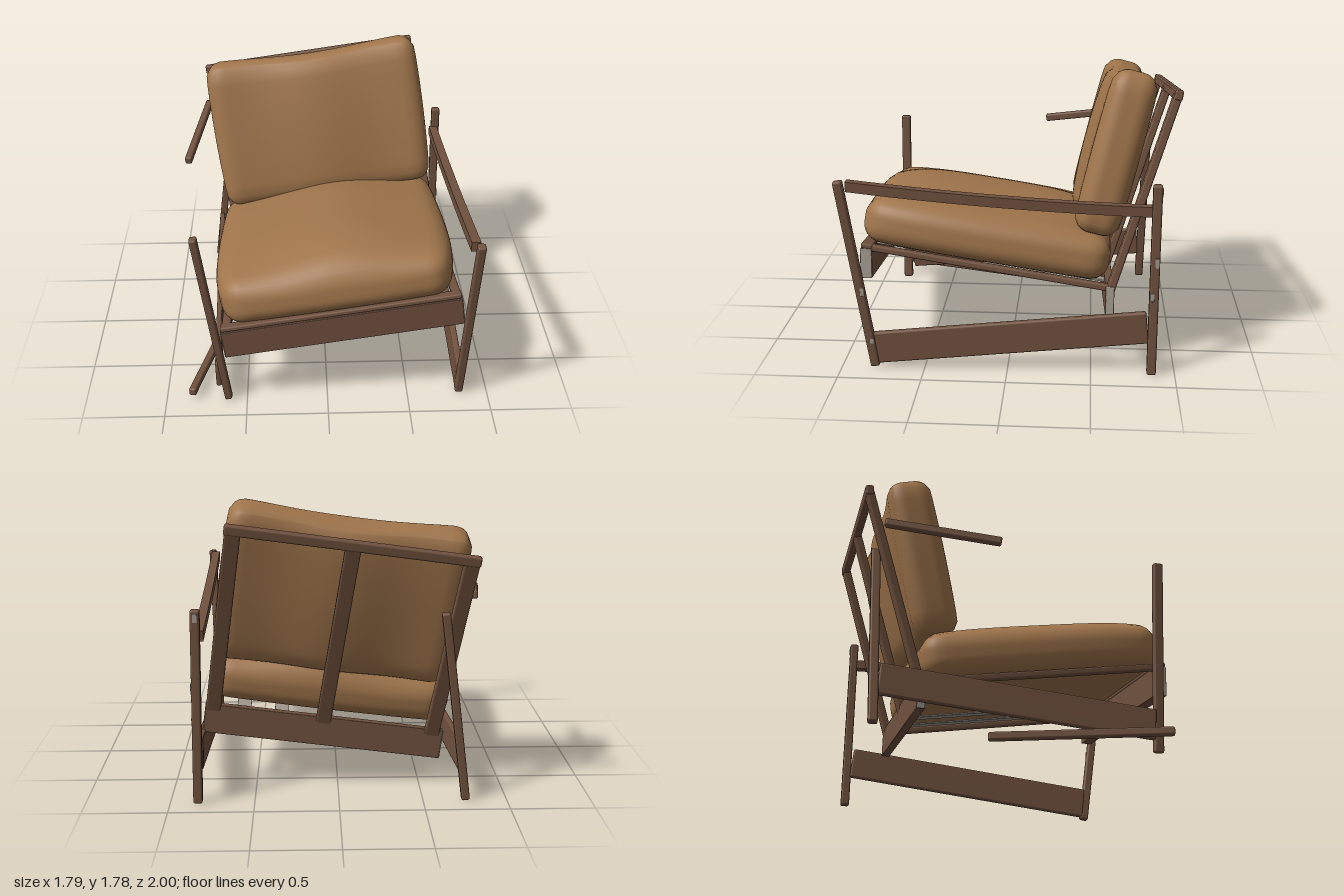
import * as THREE from 'three';
import { mergeVertices } from 'three/addons/utils/BufferGeometryUtils.js';
import { RoundedBoxGeometry } from 'three/addons/geometries/RoundedBoxGeometry.js';

const material = (name, color) => {
  const m = new THREE.MeshStandardMaterial({ color });
  m.name = name;
  return m;
};
const wood = material('brownWood', 0x71523f);
const fabric = material('tanFabric', 0xa1764c);
const pale = material('paleGrey', 0xa39a8f);

const V = (a) => new THREE.Vector3(...a);

// Bar from p to q: w across, d along the hint direction
function beam(parent, name, p, q, w, d, hint = [0, 0, 1], mat = wood, radius = 0.012) {
  const a = V(p), b = V(q);
  const y = b.clone().sub(a);
  const length = y.length();
  y.normalize();
  const x = y.clone().cross(V(hint)).normalize();
  const z = x.clone().cross(y);
  const mesh = new THREE.Mesh(new RoundedBoxGeometry(w, length, d, 2, Math.min(radius, w / 3, d / 3)), mat);
  mesh.quaternion.setFromRotationMatrix(new THREE.Matrix4().makeBasis(x, y, z));
  mesh.position.copy(a.add(b).multiplyScalar(0.5));
  mesh.name = name;
  parent.add(mesh);
}

// Smooth stuffed block; shape(p, u, v, t) moves points, u v t run -1..1 on x y z
function cushion(parent, name, w, h, d, r, shape) {
  let geo = new THREE.BoxGeometry(w, h, d, 32, 14, 32);
  geo.deleteAttribute('uv');
  geo.deleteAttribute('normal');
  geo = mergeVertices(geo);
  const pos = geo.attributes.position;
  const p = new THREE.Vector3(), core = new THREE.Vector3();
  const limit = new THREE.Vector3(w / 2 - r, h / 2 - r, d / 2 - r);
  const low = limit.clone().negate();
  for (let i = 0; i < pos.count; i++) {
    p.fromBufferAttribute(pos, i);
    core.copy(p).clamp(low, limit);
    p.sub(core).setLength(r).add(core);
    shape(p, (2 * p.x) / w, (2 * p.y) / h, (2 * p.z) / d);
    pos.setXYZ(i, p.x, p.y, p.z);
  }
  geo.computeVertexNormals();
  const mesh = new THREE.Mesh(geo, fabric);
  mesh.name = name;
  parent.add(mesh);
  return mesh;
}

export function createModel() {
  const chair = new THREE.Group();
  chair.name = 'collapsedArmchair';

  // Legs, each leaning its own way
  beam(chair, 'frontLeftLeg', [0.825, 0, 0.8], [0.865, 1.175, 0.975], 0.05, 0.055);
  beam(chair, 'backLeftLeg', [0.835, 0, -0.86], [0.82, 1.175, -0.86], 0.055, 0.055);
  beam(chair, 'frontRightLeg', [-0.615, 0, 0.83], [-0.775, 1.17, 0.84], 0.045, 0.06);
  beam(chair, 'backRightLeg', [-0.755, 0, -0.852], [-0.61, 1.15, -0.87], 0.05, 0.055);

  // Pale worn spots on the outer and rear leg faces
  for (const [x, y, z, h] of [[0.8545, 0.71, -0.872, 0.06], [0.8575, 0.5, -0.848, 0.05], [0.8655, 0.49, 0.858, 0.05], [0.855, 0.17, 0.812, 0.03]])
    beam(chair, 'wornSpot', [x, y - h / 2, z], [x, y + h / 2, z], 0.026, 0.005, [1, 0, 0], pale);
  for (const [x, y, z, h] of [[0.82, 1.13, -0.889, 0.05], [-0.637, 0.16, 0.8, 0.1]])
    beam(chair, 'wornSpot', [x, y - h / 2, z], [x, y + h / 2, z], 0.026, 0.005, [0, 0, 1], pale);

  // Low side boards between the legs
  beam(chair, 'leftSideBoard', [0.82, 0.115, 0.8], [0.82, 0.295, -0.83], 0.2, 0.04, [1, 0, 0]);
  beam(chair, 'rightSideBoard', [-0.675, 0.15, 0.8], [-0.72, 0.275, -0.83], 0.19, 0.035, [1, 0, 0]);

  // Swept armrest
  const armGeo = new THREE.BoxGeometry(0.055, 0.06, 1.77, 2, 2, 20);
  const ap = armGeo.attributes.position;
  for (let i = 0; i < ap.count; i++) {
    const z = ap.getZ(i) + 0.045;
    ap.setXYZ(i, ap.getX(i) + 0.822 + 0.02 * z, ap.getY(i) + 1.055 + 0.07 * z + 0.024 * z * z, z);
  }
  armGeo.computeVertexNormals();
  const arm = new THREE.Mesh(armGeo, wood);
  arm.name = 'leftArmrest';
  chair.add(arm);

  // Broken armrest stub and the piece on the floor
  beam(chair, 'rightArmrestStub', [-0.875, 1.145, -0.16], [-0.77, 1.25, -0.84], 0.045, 0.05, [0, 1, 0]);
  beam(chair, 'fallenRail', [-0.84, 0.055, 0.85], [-0.59, 0.03, -0.18], 0.045, 0.05, [0, 1, 0]);

  // Seat and back share one rolled and pitched frame
  const frame = new THREE.Group();
  frame.name = 'tiltedSeatAndBack';
  const Z = new THREE.Vector3(0, 0.154, 0.988).normalize();
  const Y = Z.clone().cross(new THREE.Vector3(0.99, 0.14, 0)).normalize();
  const X = Y.clone().cross(Z);
  frame.quaternion.setFromRotationMatrix(new THREE.Matrix4().makeBasis(X, Y, Z));
  frame.position.set(0, 0.524, 0);
  chair.add(frame);

  // Upright front and back boards with pale cut ends
  const x0 = -0.65, x1 = 0.8, upright = [0, -0.153, 0.988];
  for (const [name, y, z, h, t] of [['frontBoard', -0.115, 0.848, 0.18, 0.07], ['backBoard', -0.095, -0.609, 0.18, 0.052]]) {
    beam(frame, name, [x0, y, z], [x1, y, z], h, t, upright, wood, 0.004);
    for (const [x, s] of [[x0, -1], [x1, 1]])
      beam(frame, name + 'End', [x, y, z], [x + s * 0.004, y, z], h - 0.004, t - 0.004, upright, pale, 0.001);
  }

  // Thin rim round the seat
  beam(frame, 'frontRim', [x0, -0.013, 0.86], [x1, -0.013, 0.86], 0.03, 0.07);
  for (const x of [x0 + 0.035, x1 - 0.03])
    beam(frame, 'sideRim', [x, -0.02, 0.88], [x, -0.02, -0.61], 0.055, 0.04, [0, 1, 0]);

  // Seat straps
  for (const x of [0.34, 0.57])
    beam(frame, 'seatStrap', [x, -0.025, 0.83], [x, -0.025, -0.58], 0.085, 0.012, [0, 1, 0], pale, 0.003);

  // Back frame
  for (const x of [-0.585, 0.085, 0.755])
    beam(frame, 'backUpright', [x, -0.05, -0.6], [x, 1.17, -0.785], 0.09, 0.05);
  beam(frame, 'backTopRail', [-0.635, 1.165, -0.785], [0.805, 1.165, -0.785], 0.06, 0.05);

  // Seat cushion, domed on top and narrower at the front
  const seat = cushion(frame, 'seatCushion', 1.48, 0.27, 1.48, 0.11, (p, u, v, t) => {
    if (v > 0) p.y += 0.12 * Math.min(1, v) * (1 - u * u) * (1 - Math.pow(Math.abs(t), 4)) + 0.012 * Math.sin(u * 5 + 1) * v;
    p.x *= 1 - 0.08 * Math.pow(Math.max(t, 0), 4) - 0.03 * t * t;
    p.z += 0.02 * (1 - u * u) * t;
  });
  seat.position.set(0.07, 0.128, 0.172);

  // Back cushion, leaning on the uprights, with a sagging top edge
  const back = cushion(frame, 'backCushion', 1.43, 0.975, 0.26, 0.095, (p, u, v, t) => {
    p.y -= 0.015 * Math.cos(u * 3.2) * Math.max(v, 0);
    p.z += 0.03 * t * (1 - u * u) * (1 - v * v) + 0.012 * Math.cos(u * 6) * t;
    p.x *= 1 - 0.02 * v * v;
  });
  back.position.set(0.095, 0.757, -0.495);
  back.rotation.x = -0.09;

  return chair;
}
